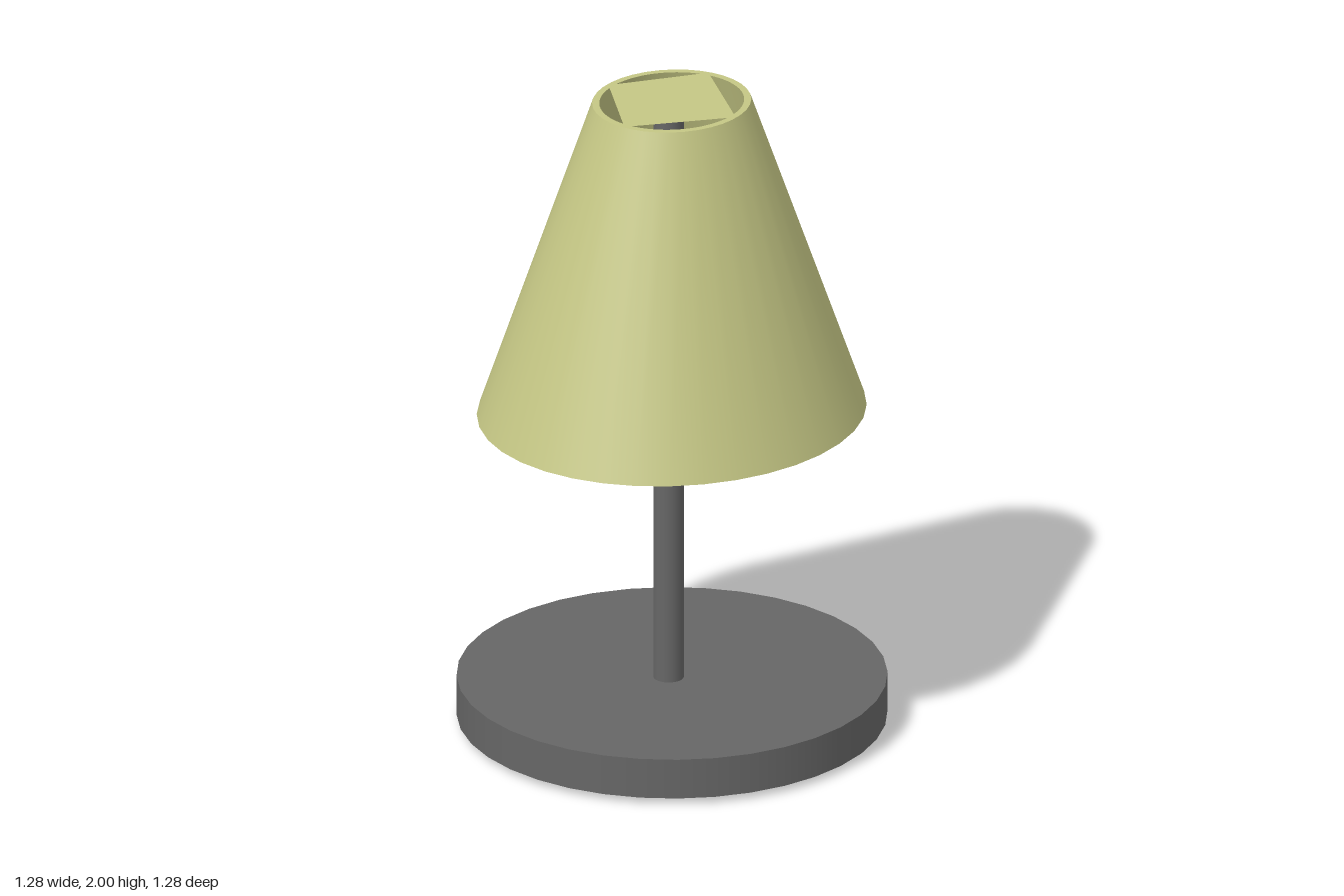
import * as THREE from 'three';

const SIDES = 36;

export function createModel() {
  const lamp = new THREE.Group();
  lamp.name = 'tableLamp';
  const dark = new THREE.MeshStandardMaterial({ color: 0x666666 });
  const cloth = new THREE.MeshStandardMaterial({ color: 0xc4c684, side: THREE.DoubleSide });

  const add = (name, geometry, material, x, y, z, parent = lamp) => {
    const mesh = new THREE.Mesh(geometry, material);
    mesh.name = name;
    mesh.position.set(x, y, z);
    parent.add(mesh);
    return mesh;
  };

  // Round foot, with the pole running through it
  add('base', new THREE.CylinderGeometry(0.638, 0.638, 0.125, SIDES), dark, 0, 0.0825, 0);
  add('pole', new THREE.CylinderGeometry(0.045, 0.045, 1.965, 24), dark, -0.022, 0.9825, 0.01);

  // Shade: a slightly oval cone, open at the bottom
  const shade = new THREE.Group();
  shade.name = 'lampshade';
  shade.position.set(-0.01, 0, 0.01);
  shade.scale.z = 0.93;
  lamp.add(shade);
  const topRadius = 0.243, innerRadius = 0.221;
  add('shadeWall', new THREE.CylinderGeometry(topRadius, 0.595, 0.995, SIDES, 1, true),
    cloth, 0, 1.5025, 0, shade);

  // Flat top ring with four spokes tapering towards the middle
  const top = new THREE.Shape().absarc(0, 0, topRadius, 0, Math.PI * 2, false);
  const spokes = [23, 105, 193, 285].map(THREE.MathUtils.degToRad);
  const halfSpoke = 0.08;
  spokes.forEach((angle, i) => {
    const next = i < 3 ? spokes[i + 1] : spokes[0] + Math.PI * 2;
    const middle = (angle + next) / 2;
    const hole = new THREE.Path();
    hole.moveTo(0.006 * Math.cos(middle), 0.006 * Math.sin(middle));
    hole.absarc(0, 0, innerRadius, angle + halfSpoke, next - halfSpoke, false);
    hole.closePath();
    top.holes.push(hole);
  });
  add('topRingAndSpokes', new THREE.ShapeGeometry(top, 18).rotateX(-Math.PI / 2),
    cloth, 0, 2, 0, shade);

  return lamp;
}
